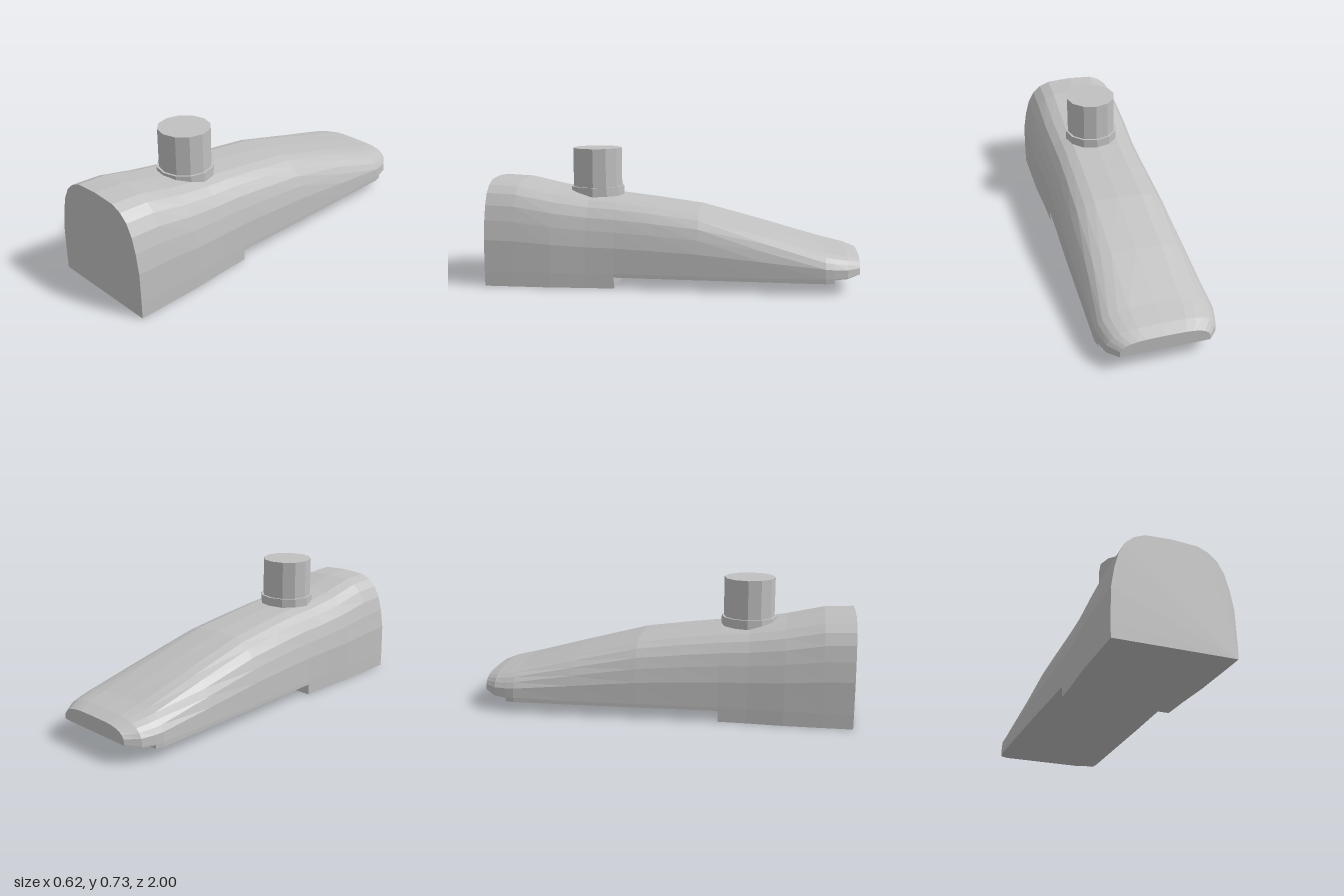
import * as THREE from 'three';

// Flat-faceted copy of a geometry
function facet(geometry) {
  const g = geometry.index ? geometry.toNonIndexed() : geometry;
  g.computeVertexNormals();
  return g;
}

// Half outline of a cross-section: [fraction of half width, fraction of height]
const PROFILE = [
  [1, 0], [0.99, 0.35], [0.935, 0.563], [0.865, 0.727],
  [0.758, 0.855], [0.613, 0.936], [0.435, 0.984], [0, 1],
];

// Stations along the body: [z, half width, bottom, side base, top]
const STATIONS = [
  [1, 0.31, 0, 0.08, 0.568],
  [0.84, 0.31, 0, 0.08, 0.56],
  [0.64, 0.309, 0, 0.08, 0.515],
  [0.45, 0.298, 0, 0.08, 0.485],
  [0.295, 0.294, 0, 0.08, 0.473],
  [0.295, 0.294, 0.06, 0.08, 0.473],
  [0.08, 0.298, 0.06, 0.08, 0.447],
  [-0.15, 0.303, 0.06, 0.08, 0.415],
  [-0.5, 0.307, 0.06, 0.08, 0.322],
  [-0.82, 0.31, 0.06, 0.085, 0.23],
  [-0.865, 0.301, 0.06, 0.085, 0.22],
  [-0.865, 0.301, 0.08, 0.085, 0.22],
  [-0.935, 0.282, 0.084, 0.09, 0.204],
  [-1, 0.23, 0.1, 0.105, 0.182],
];

// Closed ring of points, from the lower left of the model over the top
function ring([z, w, bottom, base, top]) {
  const half = [[w * 0.998, bottom]];
  for (const [fx, fy] of PROFILE) half.push([w * fx, base + fy * (top - base)]);
  const mirrored = half.slice(0, -1).reverse().map(([x, y]) => [-x, y]);
  return [...half, ...mirrored].map(([x, y]) => [x, y, z]);
}

function loftBody() {
  const rings = STATIONS.map(ring);
  const n = rings[0].length;
  const index = [];
  for (let i = 0; i < rings.length - 1; i++) {
    for (let j = 0; j < n; j++) {
      const k = (j + 1) % n;
      const a = i * n + j, b = i * n + k, c = a + n, d = b + n;
      index.push(a, c, b, b, c, d);
    }
  }
  // End caps
  const last = (rings.length - 1) * n;
  for (let j = 1; j < n - 1; j++) {
    index.push(0, j, j + 1, last, last + j + 1, last + j);
  }
  const g = new THREE.BufferGeometry();
  g.setAttribute('position', new THREE.Float32BufferAttribute(rings.flat(2), 3));
  g.setIndex(index);
  return facet(g);
}

export function createModel() {
  const grey = new THREE.MeshStandardMaterial({ color: 0xc0c0c0 });
  grey.name = 'light grey';
  const model = new THREE.Group();
  model.name = 'footBlock';

  function add(name, geometry) {
    const mesh = new THREE.Mesh(geometry, grey);
    mesh.name = name;
    model.add(mesh);
    return mesh;
  }

  // Tapered body with stepped heel and toe
  add('body', loftBody());

  // Upright twelve-sided post and the collar around its foot
  function post(name, radius, y0, y1) {
    const g = facet(new THREE.CylinderGeometry(radius, radius, y1 - y0, 12));
    add(name, g).position.set(0, (y0 + y1) / 2, 0.435);
  }
  post('post', 0.138, 0.4, 0.731);
  post('collar', 0.15, 0.4, 0.52);

  return model;
}
